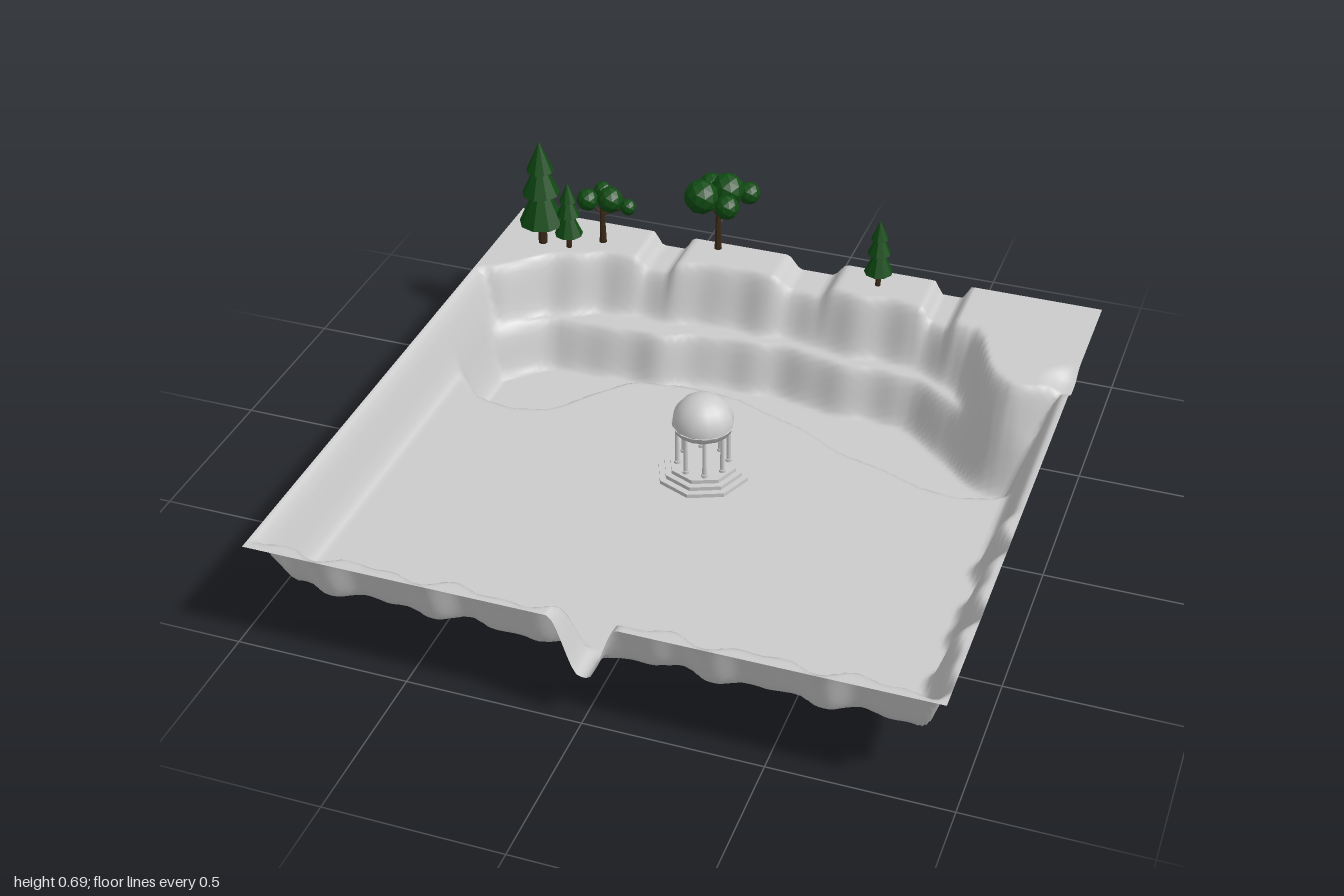
import * as THREE from 'three';

const stone = new THREE.MeshStandardMaterial({ color: 0xcccccc });
const ground = new THREE.MeshStandardMaterial({ color: 0xcccccc, side: THREE.DoubleSide });
const leaf = new THREE.MeshStandardMaterial({ color: 0x0f4a12, flatShading: true });
const bark = new THREE.MeshStandardMaterial({ color: 0x3a2a18, flatShading: true });
const FLOOR = 0.15, RIM = 0.33;

const ss = THREE.MathUtils.smoothstep;

// smooth contour z = f(x) through a few points
function contour(pts) {
  const lin = (x) => {
    let i = 0;
    while (i < pts.length - 2 && x > pts[i + 1][0]) i++;
    const [a, b] = [pts[i], pts[i + 1]];
    const t = THREE.MathUtils.clamp((x - a[0]) / (b[0] - a[0]), 0, 1);
    return a[1] + (b[1] - a[1]) * t;
  };
  return (x) => (lin(x - 0.03) + 2 * lin(x) + lin(x + 0.03)) / 4;
}

// distance of (x, z) in front of a contour
function ahead(f, x, z) {
  const slope = (f(x + 0.01) - f(x - 0.01)) / 0.02;
  return (z - f(x)) / Math.hypot(1, slope);
}

const upperCliff = contour([[-0.95, -0.5], [-0.9, -0.5], [-0.78, -0.61], [-0.6, -0.71], [-0.4, -0.72],
  [-0.25, -0.74], [0, -0.75], [0.2, -0.72], [0.45, -0.72], [0.6, -0.64], [0.68, -0.48], [0.78, -0.38], [0.95, -0.43]]);
const lowerCliff = contour([[-0.95, -0.35], [-0.86, -0.43], [-0.7, -0.56], [-0.35, -0.57], [-0.25, -0.61],
  [0, -0.64], [0.2, -0.6], [0.45, -0.6], [0.55, -0.53], [0.64, -0.43], [0.78, -0.34], [0.95, -0.34]]);
const bank = contour([[-0.9, -0.28], [-0.83, -0.21], [-0.76, -0.13], [-0.65, -0.11], [-0.55, -0.14], [-0.47, -0.25],
  [-0.37, -0.36], [-0.2, -0.39], [-0.02, -0.38], [0.1, -0.33], [0.22, -0.29], [0.35, -0.21], [0.5, -0.17],
  [0.62, -0.12], [0.72, -0.11], [0.82, -0.14], [0.9, -0.22]]);

const wave = (t) => 0.012 * Math.sin(t * 23) + 0.009 * Math.sin(t * 41 + 1);

// dips cut between the knolls of the rear ridge
function gully(x) {
  let d = 0;
  for (const [c, w] of [[-0.43, 0.07], [0.05, 0.1], [0.49, 0.06]])
    d = Math.max(d, 1 - ss(Math.abs(x - c), w * 0.5, w));
  return d;
}

function height(x, z) {
  // distance inside the bowl, from all four sides
  const rear = ahead(upperCliff, x, z) + wave(x) * 0.5;
  const left = x + 0.905;
  const right = 0.9 - x + wave(z) * ss(z, 0, 0.25);
  const front = 0.925 - z + wave(x);
  let inside = Math.min(rear, left, right, front);
  // gap in the front wall
  const gap = 0.055 - Math.abs(x - 0.005);
  if (z > 0.8) inside = Math.max(inside, gap);
  const t = ss(inside, -0.04, 0.045);
  let top = RIM;
  if (z < -0.5) top -= 0.045 * gully(x) * (1 - ss(z, -0.72, -0.6));
  if (x > 0.7) top -= 0.03 * (1 - ss(Math.hypot(x - 0.95, z + 0.5), 0.02, 0.09));
  let y = top + (FLOOR - top) * t;
  // sunken basin behind the bank
  const basin = Math.min(ahead(lowerCliff, x, z) + wave(x) * 0.4, -ahead(bank, x, z), x + 0.86, 0.84 - x);
  y -= FLOOR * ss(basin, -0.035, 0.035) * t;
  return y;
}

function terrain() {
  const g = new THREE.PlaneGeometry(1.91, 1.905, 150, 150).rotateX(-Math.PI / 2).translate(0, 0, 0.0375);
  const p = g.attributes.position;
  for (let i = 0; i < p.count; i++) p.setY(i, height(p.getX(i), p.getZ(i)));
  g.computeVertexNormals();
  const m = new THREE.Mesh(g, ground);
  m.name = 'terrain';
  return m;
}

function add(group, name, geo, mat, x, y, z) {
  const m = new THREE.Mesh(geo, mat);
  m.name = name;
  m.position.set(x, y, z);
  group.add(m);
  return m;
}

function pavilion() {
  const g = new THREE.Group();
  g.name = 'pavilion';
  const slab = stone.clone();
  slab.flatShading = true;
  // stepped octagonal base
  [0.137, 0.118, 0.1].forEach((r, i) =>
    add(g, 'step', new THREE.CylinderGeometry(r, r, 0.012, 8), slab, 0, 0.006 + i * 0.012, 0));
  // ring of columns
  for (let i = 0; i < 8; i++) {
    const a = (i + 0.5) * Math.PI / 4, x = Math.sin(a) * 0.074, z = Math.cos(a) * 0.074;
    add(g, 'column', new THREE.CylinderGeometry(0.006, 0.007, 0.125, 8), stone, x, 0.0985, z);
    add(g, 'columnFoot', new THREE.CylinderGeometry(0.01, 0.01, 0.008, 8), stone, x, 0.04, z);
  }
  // ring beam and dome
  const beam = [[0.068, 0.155], [0.084, 0.155], [0.084, 0.17], [0.092, 0.174], [0.068, 0.174], [0.068, 0.155]];
  add(g, 'ringBeam', new THREE.LatheGeometry(beam.map(([r, y]) => new THREE.Vector2(r, y)), 16), ground, 0, 0, 0);
  add(g, 'dome', new THREE.SphereGeometry(0.09, 12, 8, 0, Math.PI * 2, 0, Math.PI / 2), ground, 0, 0.172, 0);
  g.position.set(0, FLOOR, 0.04);
  return g;
}

// pine of three stacked cones; h = full height, r = widest radius
function pine(x, z, h, r) {
  const g = new THREE.Group();
  g.name = 'pineTree';
  add(g, 'trunk', new THREE.CylinderGeometry(r * 0.18, r * 0.2, h * 0.35, 7), bark, 0, h * 0.165, 0);
  for (const [base, top, k] of [[0.21, 0.66, 1], [0.5, 0.86, 0.82], [0.72, 1, 0.6]])
    add(g, 'foliage', new THREE.ConeGeometry(r * k, h * (top - base), 9), leaf, 0, h * (base + top) / 2, 0);
  g.position.set(x, RIM, z);
  return g;
}

// round-crowned tree; blobs are [x, y, z, radius]
function broadleaf(x, z, top, blobs) {
  const g = new THREE.Group();
  g.name = 'broadleafTree';
  const base = RIM - 0.005;
  add(g, 'trunk', new THREE.CylinderGeometry(0.007, 0.012, top - base, 7), bark, x, (top + base) / 2, z);
  const start = new THREE.Vector3(x, top - 0.03, z);
  for (const [bx, by, bz, r] of blobs) {
    add(g, 'crown', new THREE.IcosahedronGeometry(r, 1), leaf, bx, by, bz);
    const end = new THREE.Vector3(bx, by, bz);
    add(g, 'branch', new THREE.TubeGeometry(new THREE.LineCurve3(start, end), 1, 0.004, 5), bark, 0, 0, 0);
  }
  return g;
}

export function createModel() {
  const model = new THREE.Group();
  model.name = 'landscape';
  model.add(
    terrain(),
    pavilion(),
    pine(-0.81, -0.735, 0.36, 0.073),
    pine(-0.72, -0.735, 0.23, 0.045),
    pine(0.27, -0.83, 0.23, 0.045),
    broadleaf(-0.63, -0.8, 0.46, [[-0.675, 0.48, -0.79, 0.036], [-0.64, 0.495, -0.835, 0.03],
      [-0.605, 0.485, -0.805, 0.042], [-0.55, 0.46, -0.82, 0.027]]),
    broadleaf(-0.27, -0.88, 0.48, [[-0.315, 0.525, -0.85, 0.056], [-0.25, 0.53, -0.91, 0.055],
      [-0.195, 0.5, -0.963, 0.037], [-0.23, 0.505, -0.845, 0.04], [-0.305, 0.53, -0.92, 0.042]]),
  );
  return model;
}
